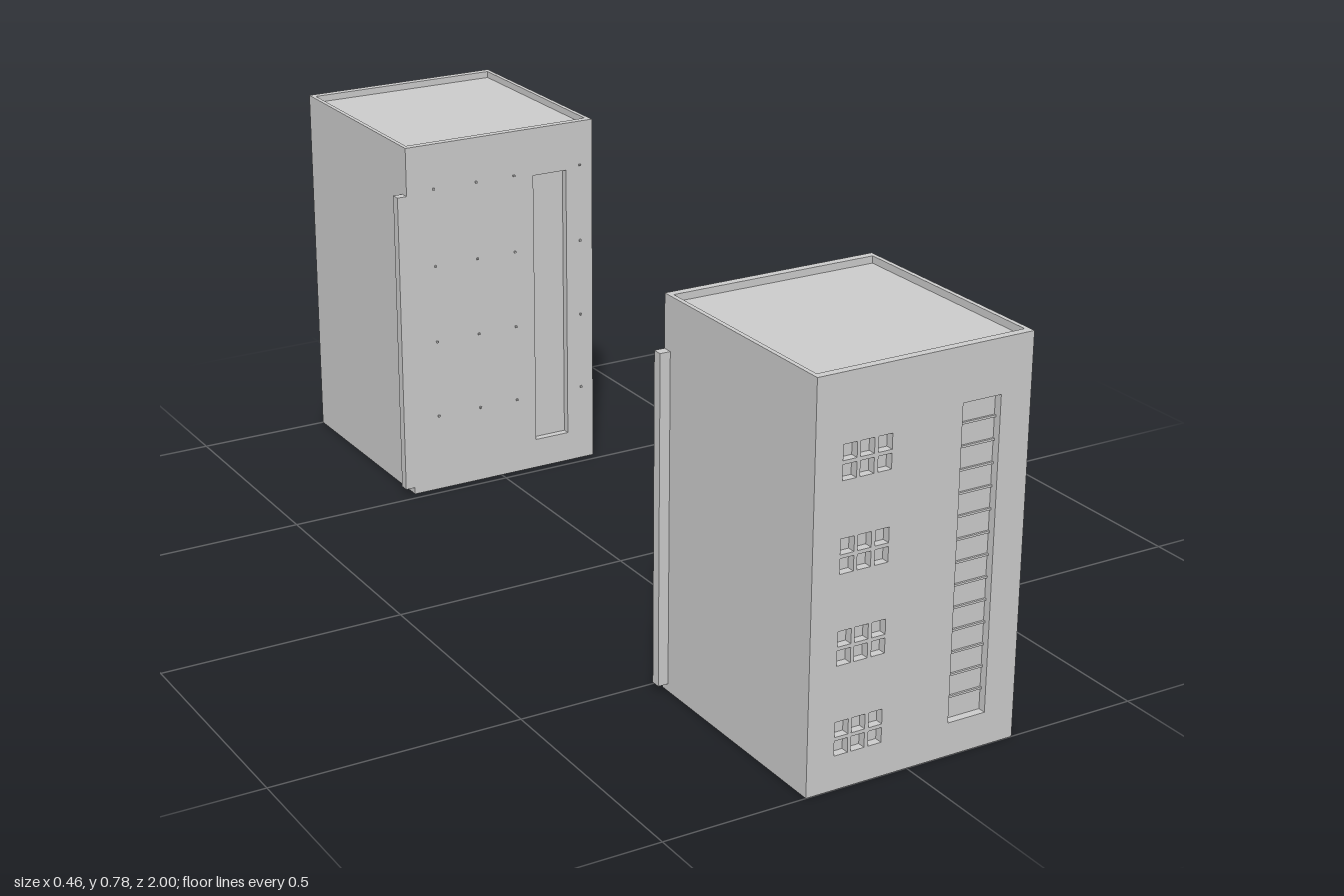
import * as THREE from 'three';

const mat = new THREE.MeshStandardMaterial({ color: 0xcccccc, flatShading: true });

// Tower extents
const X0 = -0.212, X1 = 0.231, H = 0.777, ZIN = 0.52, ZOUT = 1;
const FACE = 0.016, RIM = 0.009, ROOF_DROP = 0.014, FLOOR_LIFT = 0.007;
const SLOT = [0.087, 0.066, 0.167, 0.673];
const FLOORS = [0.067, 0.24, 0.412, 0.583];

function add(group, name, geometry, x = 0, y = 0, z = 0) {
  const mesh = new THREE.Mesh(geometry, mat);
  mesh.name = name;
  mesh.position.set(x, y, z);
  group.add(mesh);
  return mesh;
}

// Box given by its low and high corners; side mirrors it in z
function block(group, name, side, x0, y0, z0, x1, y1, z1) {
  const geometry = new THREE.BoxGeometry(x1 - x0, y1 - y0, z1 - z0);
  return add(group, name, geometry, (x0 + x1) / 2, (y0 + y1) / 2, side * (z0 + z1) / 2);
}

function tracePath(path, [x0, y0, x1, y1]) {
  path.moveTo(x0, y0);
  path.lineTo(x1, y0);
  path.lineTo(x1, y1);
  path.lineTo(x0, y1);
  path.closePath();
  return path;
}

// Wall panel pierced by rectangular openings
function wall(group, name, side, zMid, depth, openings) {
  const shape = tracePath(new THREE.Shape(), [X0, 0, X1, H]);
  for (const o of openings) shape.holes.push(tracePath(new THREE.Path(), o));
  const geometry = new THREE.ExtrudeGeometry(shape, { depth, bevelEnabled: false });
  geometry.translate(0, 0, -depth / 2);
  add(group, name, geometry, 0, 0, side * zMid);
}

function createTower(side) {
  const tower = new THREE.Group();
  tower.name = side > 0 ? 'frontTower' : 'backTower';

  // Three by two panes on each of four floors
  const panes = [];
  for (const y of FLOORS)
    for (const x of [-0.142, -0.107, -0.071])
      for (const dy of [0, 0.036])
        panes.push([x - 0.014, y + dy, x + 0.014, y + dy + 0.029]);

  wall(tower, 'outerWall', side, ZOUT - FACE / 2, FACE, [SLOT, ...panes]);
  wall(tower, 'innerWall', side, ZIN + FACE / 2, FACE, [SLOT]);

  // Side walls standing above the roof as a parapet
  block(tower, 'rightWall', side, X0, 0, ZIN + FACE, X0 + RIM, H, ZOUT - FACE);
  block(tower, 'leftWall', side, X1 - RIM, 0, ZIN + FACE, X1, H, ZOUT - FACE);

  // Core closes the openings, roof and underside
  block(tower, 'core', side, X0 + RIM, FLOOR_LIFT, ZIN + FACE,
    X1 - RIM, H - ROOF_DROP, ZOUT - FACE);

  // Shallow bars across the tall outer window
  const bars = 13;
  for (let i = 1; i <= bars; i++) {
    const y = SLOT[1] + (SLOT[3] - SLOT[1]) * i / (bars + 1);
    block(tower, 'windowBar', side, SLOT[0], y - 0.002, ZOUT - FACE, SLOT[2], y + 0.002, ZOUT - FACE + 0.004);
  }

  // Corner fin flush with the inner face
  block(tower, 'cornerFin', side, -0.233, 0.015, ZIN, X0, 0.673, ZIN + 0.02);

  // Tiny wall studs at each storey
  for (const y of [0.17, 0.34, 0.51, 0.68])
    for (const x of [-0.15, -0.05, 0.04, 0.2])
      block(tower, 'wallStud', side, x - 0.002, y - 0.002, ZIN - 0.004, x + 0.002, y + 0.002, ZIN);

  return tower;
}

export function createModel() {
  const model = new THREE.Group();
  model.name = 'twinTowers';
  for (const side of [1, -1]) model.add(createTower(side));
  return model;
}
